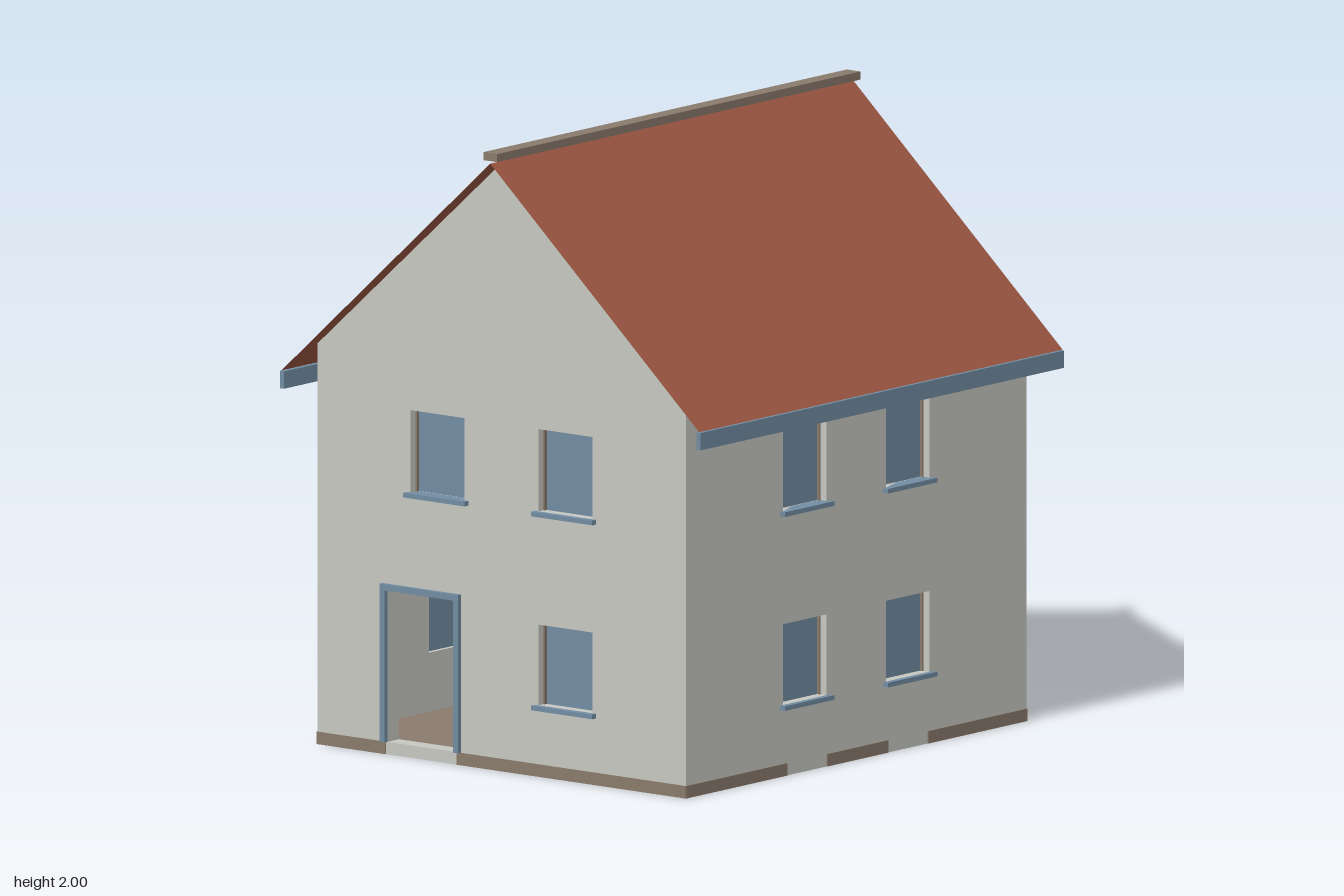
import * as THREE from 'three';

const mat = (name, color) => {
  const m = new THREE.MeshStandardMaterial({ color });
  m.name = name;
  return m;
};

// Main dimensions
const HX = 0.75, HZ = 0.86, T = 0.06;       // half width, half depth, wall thickness
const EAVE = 1.29, PEAK = 1.96, FLOOR = 0.04;
const WIN_W = 0.22, WIN_X = 0.26;           // window width and offset from wall centre
const ROWS = [[0.23, 0.49], [0.855, 1.12]]; // bottom and top of each window row
const DOOR_W = 0.32, DOOR_TOP = 0.55, JAMB = 0.02;

export function createModel() {
  const render = mat('wall render', 0xc8c8c2);
  const trim = mat('blue trim and glass', 0x728da3);
  const stone = mat('brown stone', 0x8a7b6c);
  const tiles = mat('roof tiles', 0x9c5641);
  tiles.side = THREE.DoubleSide;

  const house = new THREE.Group();
  house.name = 'house';

  // Box given by its centre and size
  const box = (parent, name, material, [x, y, z], [w, h, d]) => {
    const mesh = new THREE.Mesh(new THREE.BoxGeometry(w, h, d), material);
    mesh.position.set(x, y, z);
    mesh.name = name;
    parent.add(mesh);
    return mesh;
  };

  const rectHole = (x0, x1, y0, y1) => new THREE.Path([
    new THREE.Vector2(x0, y0), new THREE.Vector2(x0, y1),
    new THREE.Vector2(x1, y1), new THREE.Vector2(x1, y0),
  ]);

  // Glass, surround and sill; the outer wall face is at z = 0
  const addWindow = (wall, x, y0, y1) => {
    const g = new THREE.Group(), h = y1 - y0, y = (y0 + y1) / 2, s = 0.006;
    g.name = 'window';
    box(g, 'glass', trim, [x, y, -0.04], [WIN_W, h, 0.01]);
    box(g, 'windowHead', stone, [x, y1 - s / 2, -0.03], [WIN_W, s, 0.012]);
    for (const k of [-1, 1])
      box(g, 'windowSide', stone, [x + k * (WIN_W - s) / 2, y, -0.03], [s, h, 0.012]);
    box(g, 'sill', trim, [x, y0 - 0.0075, -0.006], [0.25, 0.015, 0.052]);
    wall.add(g);
  };

  // Open doorway with a raised frame
  const addDoor = (wall, x) => {
    const g = new THREE.Group(), h = DOOR_TOP - FLOOR;
    g.name = 'doorFrame';
    for (const k of [-1, 1])
      box(g, 'doorJamb', trim, [x + k * (DOOR_W - JAMB) / 2, FLOOR + h / 2, 0], [JAMB, h, 0.03]);
    box(g, 'doorLintel', trim, [x, DOOR_TOP - JAMB / 2, 0], [DOOR_W - 2 * JAMB, JAMB, 0.03]);
    wall.add(g);
  };

  // One wall, facing local +z, turned into place
  const addWall = ({ name, angle, dist, half, gable, door, base }) => {
    const wall = new THREE.Group();
    wall.name = name;
    const shape = new THREE.Shape();
    shape.moveTo(-half, 0).lineTo(half, 0).lineTo(half, EAVE - (gable ? 0 : 0.002));
    if (gable) shape.lineTo(0, PEAK);
    shape.lineTo(-half, EAVE - (gable ? 0 : 0.002)).closePath();

    ROWS.forEach(([y0, y1], row) => {
      for (const side of [-1, 1]) {
        if (door !== undefined && row === 0 && side < 0) continue;
        const x = side * WIN_X;
        shape.holes.push(rectHole(x - WIN_W / 2, x + WIN_W / 2, y0, y1));
        addWindow(wall, x, y0, y1);
      }
    });
    if (door !== undefined) {
      const w = DOOR_W / 2 - JAMB;
      shape.holes.push(rectHole(door - w, door + w, FLOOR, DOOR_TOP - JAMB));
      addDoor(wall, door);
    }
    const geo = new THREE.ExtrudeGeometry(shape, { depth: T, bevelEnabled: false });
    geo.translate(0, 0, -T);
    const panel = new THREE.Mesh(geo, render);
    panel.name = name + 'Panel';
    wall.add(panel);

    // Plinth strips along the foot of the wall
    for (const [a, b] of base)
      box(wall, 'plinth', stone, [(a + b) / 2, FLOOR / 2, 0.001], [b - a, FLOOR, 0.004]);

    wall.rotation.y = angle;
    wall.position.set(Math.sin(angle) * dist, 0, Math.cos(angle) * dist);
    house.add(wall);
  };

  const sideHalf = HZ - T;
  addWall({ name: 'frontWall', angle: 0, dist: HZ, half: HX, gable: true, door: -0.325,
    base: [[-HX, -0.47], [-0.18, HX]] });
  addWall({ name: 'backWall', angle: Math.PI, dist: HZ, half: HX, gable: true,
    base: [[-HX, HX]] });
  addWall({ name: 'leftWall', angle: Math.PI / 2, dist: HX, half: sideHalf,
    base: [[-HZ, -0.35], [-0.15, 0.16], [0.36, HZ]] });
  addWall({ name: 'rightWall', angle: -Math.PI / 2, dist: HX, half: sideHalf, door: -0.54,
    base: [[-HZ, -0.685], [-0.395, HZ]] });

  // Ground floor and ceiling
  const inner = [2 * (HX - T), 2 * (HZ - T)];
  box(house, 'groundFloor', stone, [0, FLOOR / 2, 0], [inner[0], FLOOR, inner[1]]);
  box(house, 'ceiling', render, [0, 1.26, 0], [inner[0], 0.02, inner[1]]);

  // Roof slopes with gutters, mirrored left and right
  const EX = 0.85, EY = 1.2, RY = PEAK + 0.006, RZ = 0.917;
  for (const k of [-1, 1]) {
    const geo = new THREE.PlaneGeometry(Math.hypot(EX, RY - EY), 2 * RZ);
    geo.rotateX(-Math.PI / 2);
    const slope = new THREE.Mesh(geo, tiles);
    slope.rotation.z = -k * Math.atan2(RY - EY, EX);
    slope.position.set(k * EX / 2, (RY + EY) / 2, 0);
    slope.name = 'roofSlope';
    house.add(slope);
    box(house, 'gutter', trim, [k * 0.848, 1.17, 0], [0.016, 0.056, 2 * RZ]);
  }

  // Ridge cap
  box(house, 'ridgeCap', stone, [0, 1.987, 0], [0.056, 0.026, 2 * RZ]);

  return house;
}
